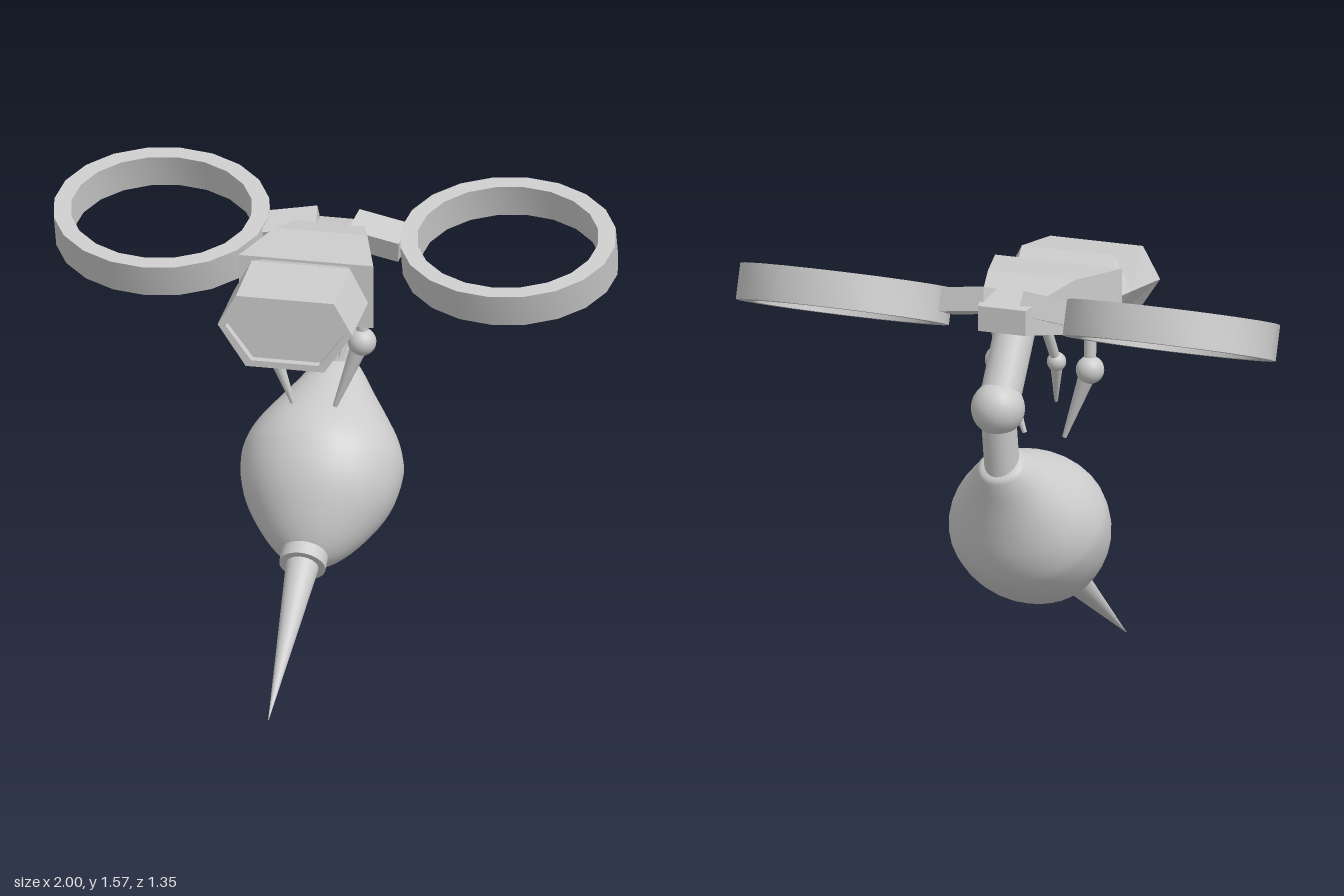
import * as THREE from 'three';
import { toCreasedNormals } from 'three/addons/utils/BufferGeometryUtils.js';

const material = new THREE.MeshStandardMaterial({ color: 0xcccccc });
const V = (x, y, z) => new THREE.Vector3(x, y, z);

function add(parent, name, geometry, position = V(0, 0, 0)) {
  const mesh = new THREE.Mesh(geometry, material);
  mesh.name = name;
  mesh.position.copy(position);
  parent.add(mesh);
  return mesh;
}

// Round bar from point a (radius ra) to point b (radius rb)
function bar(parent, name, a, b, ra, rb, sides = 20) {
  const geometry = new THREE.CylinderGeometry(rb, ra, a.distanceTo(b), sides);
  const mesh = add(parent, name, geometry, a.clone().lerp(b, 0.5));
  mesh.quaternion.setFromUnitVectors(V(0, 1, 0), b.clone().sub(a).normalize());
  return mesh;
}

function ball(parent, name, position, radius) {
  return add(parent, name, new THREE.SphereGeometry(radius, 20, 14), position);
}

// Flat-sided skin over matching loops, each counterclockwise seen from the front
function loft(loops) {
  const points = [];
  const n = loops[0].length;
  for (let s = 0; s < loops.length - 1; s++) {
    const a = loops[s], b = loops[s + 1];
    for (let i = 0; i < n; i++) {
      const j = (i + 1) % n;
      points.push(a[i], b[i], b[j], a[i], b[j], a[j]);
    }
  }
  const first = loops[0], last = loops[loops.length - 1];
  for (let i = 1; i < n - 1; i++) {
    points.push(first[0], first[i], first[i + 1], last[0], last[i + 1], last[i]);
  }
  const geometry = new THREE.BufferGeometry().setFromPoints(points);
  geometry.computeVertexNormals();
  return geometry;
}

// Six-sided section: half widths at bottom, middle and top
function hexagon(z, bottom, middle, top, wBottom, wMiddle, wTop) {
  return [V(-wBottom, bottom, z), V(wBottom, bottom, z), V(wMiddle, middle, z),
    V(wTop, top, z), V(-wTop, top, z), V(-wMiddle, middle, z)];
}

function rectangle(z, bottom, top, w) {
  return [V(-w, bottom, z), V(w, bottom, z), V(w, top, z), V(-w, top, z)];
}

export function createModel() {
  const model = new THREE.Group();
  const body = new THREE.Group();
  body.name = 'body';
  body.position.x = -0.013;
  model.add(body);

  // Head with a recessed face plate
  add(body, 'head', loft([
    hexagon(0.38, 1.24, 1.362, 1.455, 0.12, 0.212, 0.152),
    hexagon(0.41, 1.24, 1.362, 1.455, 0.12, 0.212, 0.152),
    hexagon(0.41, 1.217, 1.365, 1.478, 0.14, 0.24, 0.175),
    hexagon(0.155, 1.25, 1.385, 1.507, 0.14, 0.24, 0.175),
    hexagon(0.06, 1.265, 1.37, 1.475, 0.12, 0.2, 0.15),
  ]));

  // Tapering torso
  add(body, 'torso', loft([
    rectangle(0.07, 1.255, 1.488, 0.24),
    rectangle(-0.17, 1.303, 1.5, 0.165),
    rectangle(-0.33, 1.335, 1.47, 0.117),
    rectangle(-0.435, 1.355, 1.445, 0.09),
  ]));

  // Waist: two bars meeting at a ball joint
  const joint = V(0, 1.095, -0.47);
  bar(body, 'upperWaist', V(0, 1.37, -0.3), joint, 0.072, 0.072);
  ball(body, 'waistJoint', joint, 0.095);
  bar(body, 'lowerWaist', joint, V(0, 0.85, -0.43), 0.062, 0.062);

  // Teardrop abdomen, turned about its sloping axis
  const profile = new THREE.SplineCurve([
    [0, 0], [0.06, 0.004], [0.085, 0.03], [0.128, 0.1], [0.18, 0.18], [0.228, 0.26],
    [0.255, 0.33], [0.262, 0.39], [0.25, 0.48], [0.215, 0.57], [0.15, 0.67],
    [0.08, 0.74], [0, 0.775],
  ].map(([r, h]) => new THREE.Vector2(r, h))).getPoints(44);
  profile.forEach((p) => { p.x = Math.max(p.x, 0); });
  profile.reverse().forEach((p) => { p.y *= -1; });
  const abdomen = add(body, 'abdomen', new THREE.LatheGeometry(profile, 36), V(0, 0.888, -0.457));
  abdomen.rotation.x = -0.764;
  abdomen.scale.x = 1.09;

  // Stinger and its collar
  const root = V(0, 0.375, 0.11), tip = V(0, 0, 0.673);
  const along = tip.clone().sub(root).normalize();
  const at = (d) => root.clone().addScaledVector(along, d);
  bar(body, 'stingerCollar', at(-0.025), at(0.025), 0.082, 0.082, 24);
  bar(body, 'stinger', at(-0.02), tip, 0.062, 0.001, 24);

  // Two pairs of legs, each a rod, a ball knee and a spike
  for (const side of [-1, 1]) {
    bar(body, 'frontThigh', V(side * 0.172, 1.3, -0.05), V(side * 0.172, 1.15, -0.055), 0.023, 0.02, 12);
    ball(body, 'frontKnee', V(side * 0.172, 1.148, -0.055), 0.05);
    bar(body, 'frontShin', V(side * 0.17, 1.15, -0.055), V(side * 0.075, 0.895, -0.055), 0.033, 0.008, 12);
    bar(body, 'rearThigh', V(side * 0.095, 1.35, -0.27), V(side * 0.107, 1.207, -0.2), 0.02, 0.017, 12);
    ball(body, 'rearKnee', V(side * 0.107, 1.207, -0.2), 0.034);
    bar(body, 'rearShin', V(side * 0.107, 1.207, -0.2), V(side * 0.077, 1.045, -0.133), 0.024, 0.006, 12);
  }

  // Tilted oval rings and the struts that carry them
  const oval = new THREE.Shape().absellipse(0, 0, 0.382, 0.32, 0, Math.PI * 2);
  oval.holes.push(new THREE.Path().absellipse(0, 0, 0.32, 0.268, 0, Math.PI * 2, true));
  const extruded = new THREE.ExtrudeGeometry(oval, { depth: 0.128, bevelEnabled: false, curveSegments: 10 });
  extruded.translate(0, 0, -0.064).rotateX(-Math.PI / 2);
  const ringGeometry = toCreasedNormals(extruded, 0.6);
  for (const side of [-1, 1]) {
    const ring = add(model, 'wingRing', ringGeometry, V(side * 0.618, 1.41, -0.35));
    ring.rotation.x = 0.325;
    const strut = add(model, 'wingStrut', new THREE.BoxGeometry(0.19, 0.085, 0.115), V(side * 0.155, 1.432, -0.338));
    strut.rotation.set(0.325, side * -0.16, side * -0.1);
  }
  return model;
}
